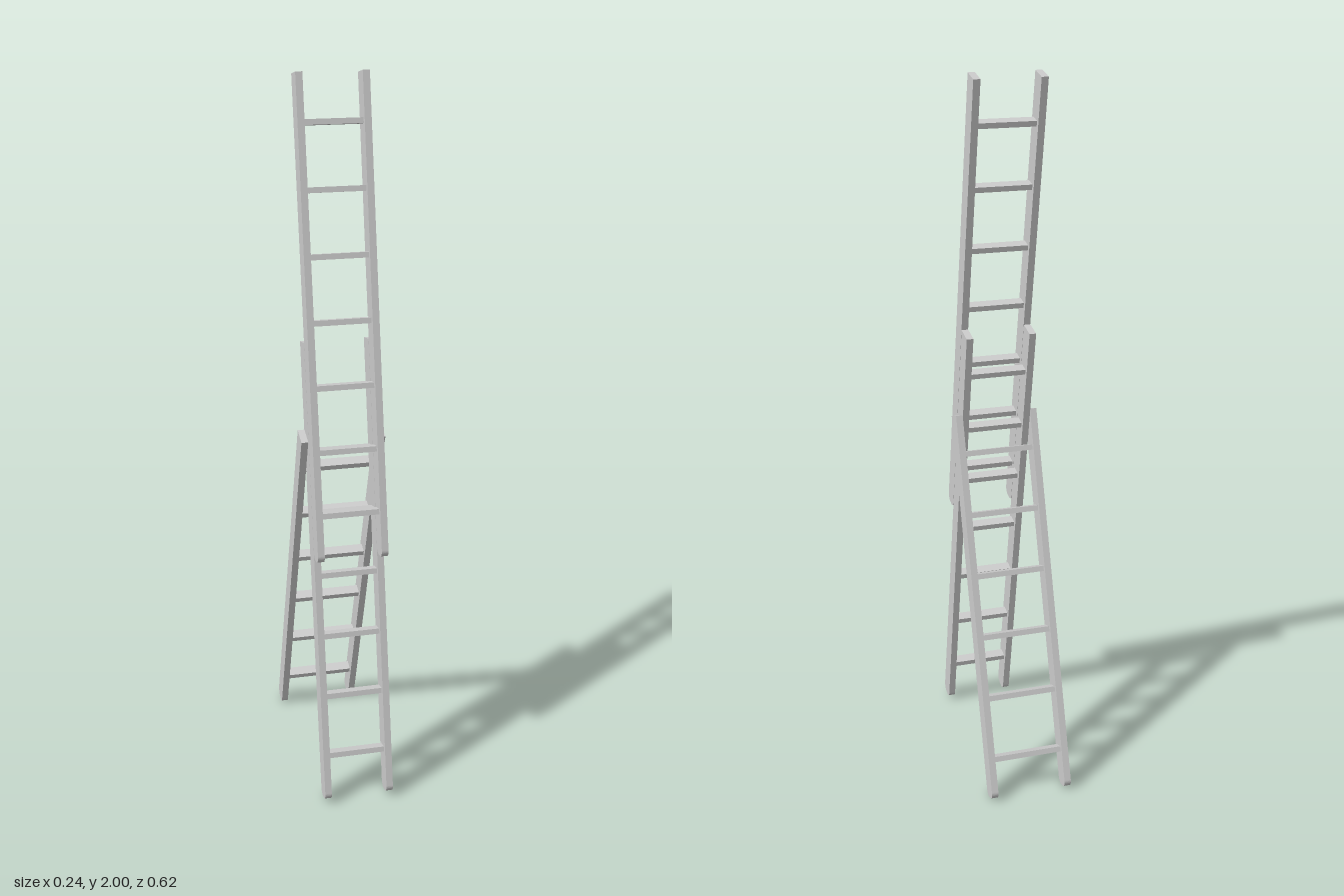
import * as THREE from 'three';

const RAIL_DEPTH = 0.055, RAIL_WIDTH = 0.019;
const RUNG_PITCH = 0.175, RUNG_HEIGHT = 0.015, RUNG_DEPTH = 0.031;
const material = new THREE.MeshStandardMaterial({ color: 0xcccccc });

// Side rail: square top end, rounded foot, extruded across its width
function railGeometry(length) {
  const h = RAIL_DEPTH / 2, r = 0.02;
  const s = new THREE.Shape();
  s.moveTo(-h + r, 0);
  s.lineTo(h - r, 0);
  s.absarc(h - r, r, r, -Math.PI / 2, 0, false);
  s.lineTo(h, length);
  s.lineTo(-h, length);
  s.lineTo(-h, r);
  s.absarc(-h + r, r, r, Math.PI, Math.PI * 1.5, false);
  const g = new THREE.ExtrudeGeometry(s, { depth: RAIL_WIDTH, bevelEnabled: false, curveSegments: 6 });
  g.translate(0, 0, -RAIL_WIDTH / 2);
  g.rotateY(-Math.PI / 2);
  return g;
}

// One ladder section standing on its own origin, with the rungs centred along it
function ladderSection(name, length, innerHalfWidth, rungCount) {
  const section = new THREE.Group();
  section.name = name;
  const rail = railGeometry(length);
  for (const side of [1, -1]) {
    const m = new THREE.Mesh(rail, material);
    m.name = side > 0 ? 'leftRail' : 'rightRail';
    m.position.x = side * (innerHalfWidth + RAIL_WIDTH / 2);
    section.add(m);
  }
  const rung = new THREE.BoxGeometry(innerHalfWidth * 2, RUNG_HEIGHT, RUNG_DEPTH);
  for (let i = 0; i < rungCount; i++) {
    const m = new THREE.Mesh(rung, material);
    m.name = `rung${i + 1}`;
    m.position.y = length / 2 + (i - (rungCount - 1) / 2) * RUNG_PITCH;
    section.add(m);
  }
  return section;
}

export function createModel() {
  const ladder = new THREE.Group();
  ladder.name = 'extensionLadder';
  const lean = THREE.MathUtils.degToRad(-11.6);

  // Lower climbing section
  const lower = ladderSection('lowerSection', 1.305, 0.08, 7);
  lower.position.set(0, 0.013, 0.291);
  lower.rotation.x = lean;

  // Extended section, lying against the front of the lower one
  const upper = ladderSection('upperSection', 1.305, 0.08, 7);
  upper.position.set(0, 0.716, 0.2045);
  upper.rotation.x = lean;

  // Wider rear support straddling the lower section
  const rear = ladderSection('rearSupport', 1.095, 0.099, 6);
  rear.position.set(0, 0.006, -0.286);
  rear.rotation.x = THREE.MathUtils.degToRad(19.5);

  ladder.add(lower, upper, rear);
  return ladder;
}
